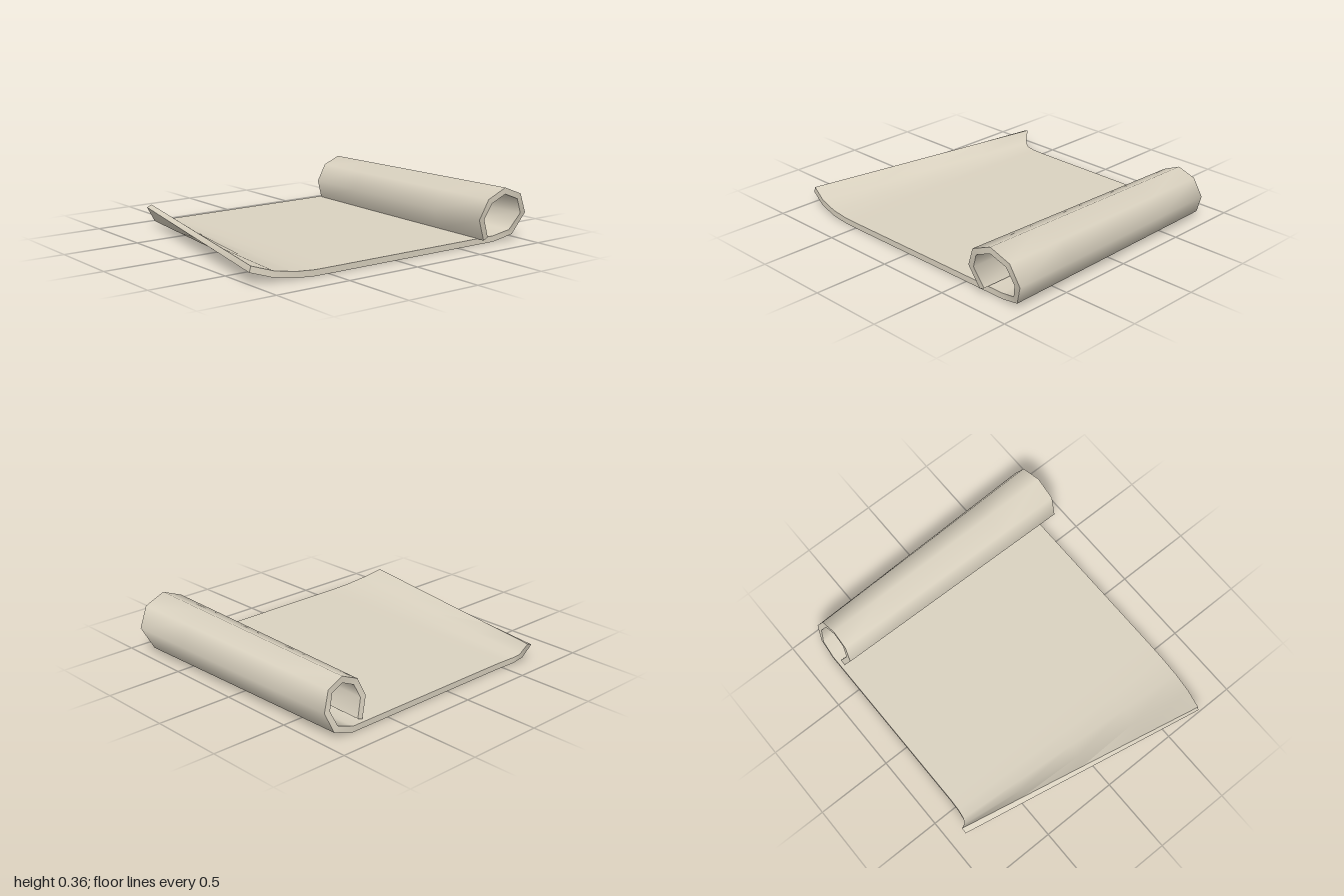
import * as THREE from 'three';
import { toCreasedNormals } from 'three/addons/utils/BufferGeometryUtils.js';

const THICKNESS = 0.038;
const STEPS = 4;

// Underside of the sheet at each side edge, from the roll's inner end to the front lip: [x, y, z]
const leftEdge = [
  [0.86, 0.035, -0.665], [0.885, 0.175, -0.6], [0.905, 0.302, -0.655], [0.905, 0.36, -0.795],
  [0.897, 0.305, -0.938], [0.88, 0.175, -1], [0.835, 0.035, -0.935], [0.81, 0, -0.8],
  [0.81, 0, -0.68], [0.81, 0, 0.45], [0.808, 0, 0.6], [0.8, 0.008, 0.73], [0.78, 0.03, 0.87], [0.742, 0.07, 1],
];
const rightEdge = [
  [-0.81, 0.04, -0.68], [-0.785, 0.165, -0.63], [-0.77, 0.28, -0.68], [-0.768, 0.33, -0.795],
  [-0.777, 0.285, -0.91], [-0.8, 0.165, -0.96], [-0.825, 0.04, -0.91], [-0.835, 0, -0.78],
  [-0.835, 0, -0.68], [-0.835, 0, 0.45], [-0.838, 0, 0.53], [-0.848, 0.005, 0.605], [-0.866, 0.03, 0.66], [-0.905, 0.12, 0.693],
];

// Closed outline: the edge, then back along its mitred offset
function outline(edge) {
  const normal = (a, b) => new THREE.Vector2(-(b[1] - a[1]), b[2] - a[2]).normalize(); // (z, y)
  const inner = edge.map((p, i) => {
    const n1 = normal(edge[Math.max(i - 1, 0)], edge[Math.max(i, 1)]);
    const last = edge.length - 1;
    const n2 = normal(edge[Math.min(i, last - 1)], edge[Math.min(i + 1, last)]);
    const m = n1.clone().add(n2).normalize();
    const d = THICKNESS / m.dot(n1);
    return [p[0], p[1] + m.y * d, p[2] + m.x * d];
  });
  return [...edge, ...inner.reverse()];
}

// Loft the two outlines across the width and close both side edges
function sheetGeometry() {
  const a = outline(rightEdge), b = outline(leftEdge);
  const n = a.length, pos = [];
  const at = (k, s) => a[k % n].map((v, c) => THREE.MathUtils.lerp(v, b[k % n][c], s / STEPS));
  const quad = (p, q, r, t) => pos.push(...p, ...q, ...r, ...p, ...r, ...t);
  for (let k = 0; k < n; k++) {
    for (let s = 0; s < STEPS; s++) quad(at(k, s), at(k, s + 1), at(k + 1, s + 1), at(k + 1, s));
  }
  for (let i = 0; i < n / 2 - 1; i++) {
    const j = n - 1 - i;
    quad(b[i], b[j], b[j - 1], b[i + 1]);
    quad(a[i], a[i + 1], a[j - 1], a[j]);
  }
  const geo = new THREE.BufferGeometry();
  geo.setAttribute('position', new THREE.Float32BufferAttribute(pos, 3));
  return toCreasedNormals(geo, THREE.MathUtils.degToRad(58));
}

export function createModel() {
  const group = new THREE.Group();
  group.name = 'scroll';
  const parchment = new THREE.MeshStandardMaterial({ color: 0xdad2c0 });
  parchment.name = 'parchment';
  const sheet = new THREE.Mesh(sheetGeometry(), parchment);
  sheet.name = 'rolledSheet';
  group.add(sheet);
  return group;
}
